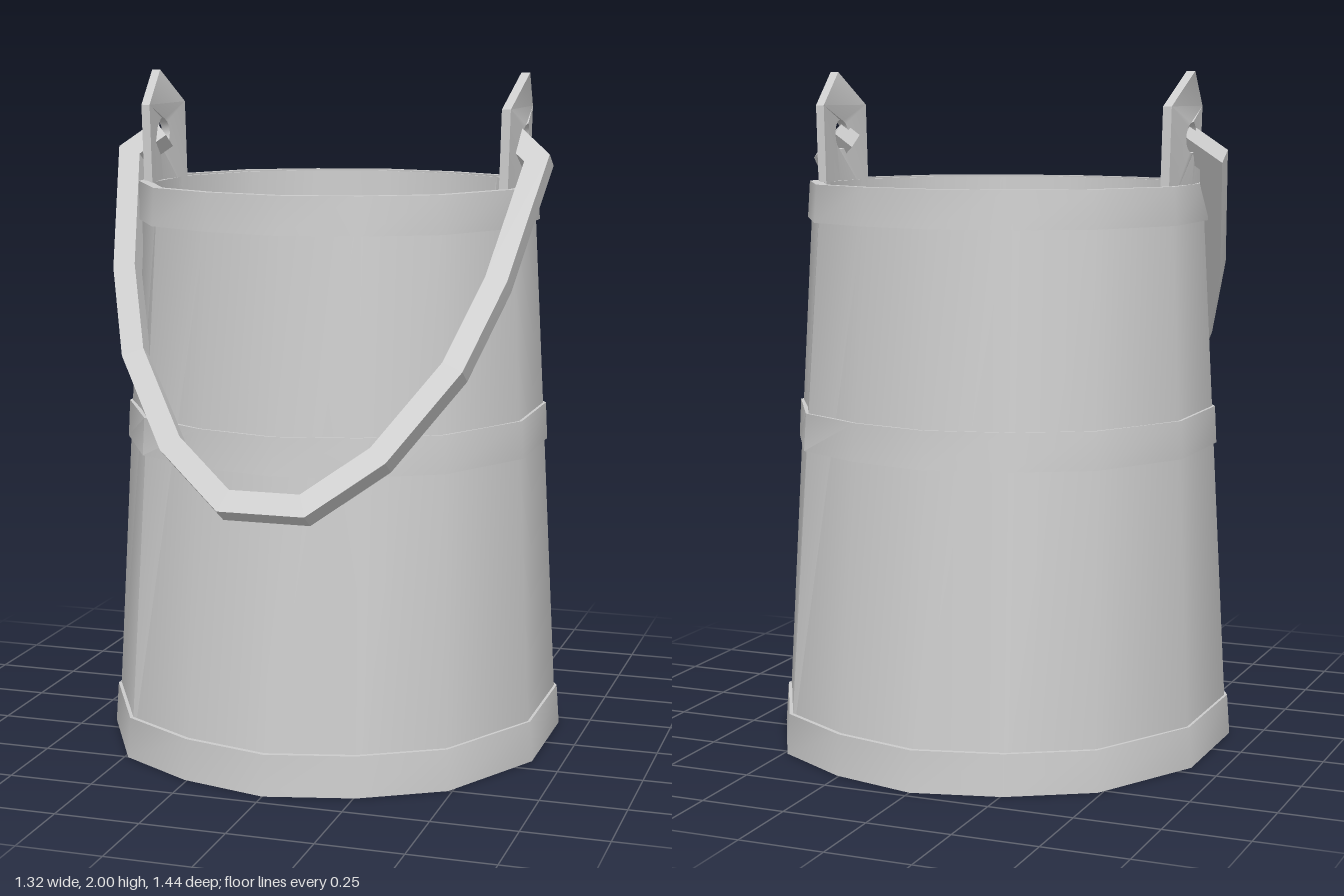
import * as THREE from 'three';
import { toCreasedNormals } from 'three/addons/utils/BufferGeometryUtils.js';

const material = new THREE.MeshStandardMaterial({ color: 0xcccccc });

// Skin a list of equal-length rings (arrays of Vector3), optionally capped or joined end to end
function loft(rings, { caps = true, joined = false, crease = 0.55 } = {}) {
  const pos = [];
  const tri = (...pts) => pts.forEach(p => pos.push(p.x, p.y, p.z));
  const n = rings[0].length;
  const last = joined ? rings.length : rings.length - 1;
  for (let j = 0; j < last; j++) {
    const lo = rings[j], hi = rings[(j + 1) % rings.length];
    for (let i = 0; i < n; i++) {
      const k = (i + 1) % n;
      tri(lo[i], lo[k], hi[k]);
      tri(lo[i], hi[k], hi[i]);
    }
  }
  if (caps && !joined) {
    const a = rings[0], b = rings[rings.length - 1];
    for (let i = 1; i < n - 1; i++) {
      tri(a[0], a[i + 1], a[i]);
      tri(b[0], b[i], b[i + 1]);
    }
  }
  const geo = new THREE.BufferGeometry();
  geo.setAttribute('position', new THREE.Float32BufferAttribute(pos, 3));
  return toCreasedNormals(geo, crease);
}

// Slightly uneven 14-sided outline, from front round to the left, back and right
const half = [[0, 1], [0.39, 0.91], [0.74, 0.72], [1, 0.27], [1, -0.27], [0.74, -0.72], [0.39, -0.91], [0, -1]];
const outline = [...half, ...half.slice(1, -1).reverse().map(([x, z]) => [-x, z])];
const ring = ([y, rx, rz]) => outline.map(([x, z]) => new THREE.Vector3(x * rx, y, z * rz - 0.01));

function add(group, name, geometry) {
  const mesh = new THREE.Mesh(geometry, material);
  mesh.name = name;
  group.add(mesh);
  return mesh;
}

// Pointed plate with a round hole, following the bend of the wall
function lugGeometry() {
  const s = new THREE.Shape();
  s.moveTo(-0.145, 1.6);
  s.lineTo(0, 1.6);
  s.lineTo(0.145, 1.6);
  s.lineTo(0.145, 1.9);
  s.lineTo(0, 2);
  s.lineTo(-0.145, 1.9);
  s.closePath();
  const hole = new THREE.Path();
  hole.absarc(0, 1.81, 0.045, 0, Math.PI * 2, true);
  s.holes.push(hole);
  const geo = new THREE.ExtrudeGeometry(s, { depth: 0.026, bevelEnabled: false, curveSegments: 8 });
  geo.rotateY(Math.PI / 2);
  const p = geo.attributes.position;
  for (let i = 0; i < p.count; i++) {
    const bend = 0.02 * (1 - Math.abs(p.getZ(i)) / 0.145);
    p.setX(i, p.getX(i) + 0.528 + bend + 0.025 * (p.getY(i) - 1.6));
  }
  return toCreasedNormals(geo, 0.5);
}

// Square bar swept along a mitred path lying in one tilted plane
function handleGeometry() {
  const side = [[0.54, 1.81], [0.625, 1.745], [0.56, 1.42], [0.475, 1.19], [0.305, 0.96], [0.115, 0.825]];
  const path = [...side, ...side.map(([x, y]) => [-x, y]).reverse()]
    .map(([x, y]) => new THREE.Vector3(x + 0.004, y, 0.03 + (1.81 - y) * 0.65));
  const normal = new THREE.Vector3(0, 0.65, 1).normalize();
  const r = 0.033;
  const rings = path.map((p, i) => {
    const before = p.clone().sub(path[Math.max(i - 1, 0)]).normalize();
    const after = path[Math.min(i + 1, path.length - 1)].clone().sub(p).normalize();
    const t = before.add(after).normalize();
    const next = (path[i + 1] || p).clone().sub(path[i + 1] ? p : path[i - 1]).normalize();
    const v = t.clone().cross(normal).multiplyScalar(r / t.dot(next));
    const u = normal.clone().multiplyScalar(r);
    return [[1, 1], [-1, 1], [-1, -1], [1, -1]]
      .map(([a, b]) => p.clone().addScaledVector(u, a).addScaledVector(v, b));
  });
  return loft(rings, { crease: 0.2 });
}

export function createModel() {
  const model = new THREE.Group();
  model.name = 'bucket';

  // Hollow tapered wall with its floor
  add(model, 'bucketWall', loft([
    [0, 0.65, 0.7], [1.67, 0.568, 0.54], [1.67, 0.535, 0.53], [0.1, 0.52, 0.478],
  ].map(ring)));

  // Hoops: bottom y, top y, then outer half-widths at each
  const hoops = {
    bottomHoop: [0, 0.12, [0.66, 0.712], [0.652, 0.703]],
    middleHoop: [0.9, 1.01, [0.614, 0.62], [0.609, 0.61]],
    topHoop: [1.565, 1.675, [0.584, 0.566], [0.577, 0.558]],
  };
  for (const [name, [y0, y1, a, b]] of Object.entries(hoops)) {
    const t = 0.026;
    add(model, name, loft([
      [y0, a[0] - t, a[1] - t], [y0, ...a], [y1, ...b], [y1, b[0] - t, b[1] - t],
    ].map(ring), { joined: true }));
  }

  // Lugs that carry the handle
  const lug = lugGeometry();
  add(model, 'leftLug', lug);
  add(model, 'rightLug', lug).rotation.y = Math.PI;

  // Handle, hanging forward
  add(model, 'handle', handleGeometry());
  return model;
}
